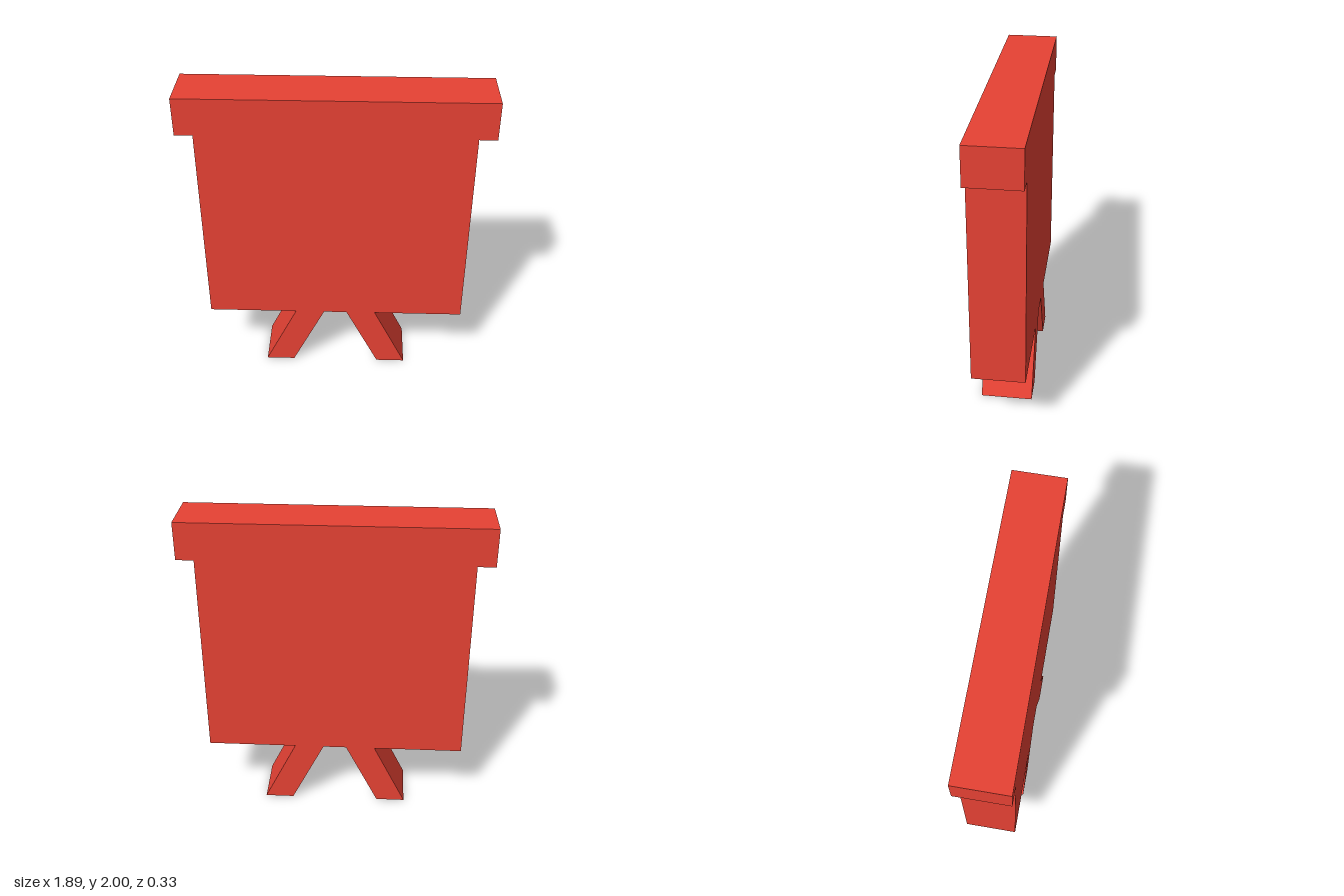
import * as THREE from 'three';

const DEPTH = 0.33;
const red = new THREE.MeshStandardMaterial({ color: 0xea4335 });
red.name = 'red';

// Flat outline extruded evenly about z = 0
function slab(name, points) {
  const shape = new THREE.Shape(points.map(([x, y]) => new THREE.Vector2(x, y)));
  const geometry = new THREE.ExtrudeGeometry(shape, { depth: DEPTH, bevelEnabled: false });
  geometry.translate(0, 0, -DEPTH / 2);
  const mesh = new THREE.Mesh(geometry, red);
  mesh.name = name;
  return mesh;
}

export function createModel() {
  const model = new THREE.Group();
  model.name = 'presentationBoard';

  // Board and its wider top rail, in one T-shaped outline
  model.add(slab('boardWithTopRail', [
    [-0.835, 0.432], [0.835, 0.432], [0.835, 1.763], [0.945, 1.763],
    [0.945, 2], [-0.945, 2], [-0.945, 1.763], [-0.835, 1.763],
  ]));

  // Splayed legs, mirrored left and right
  for (const [name, s] of [['leftLeg', 1], ['rightLeg', -1]]) {
    model.add(slab(name, [
      [s * 0.287, 0], [s * 0.473, 0], [s * 0.263, 0.432], [s * 0.075, 0.432],
    ]));
  }
  return model;
}
